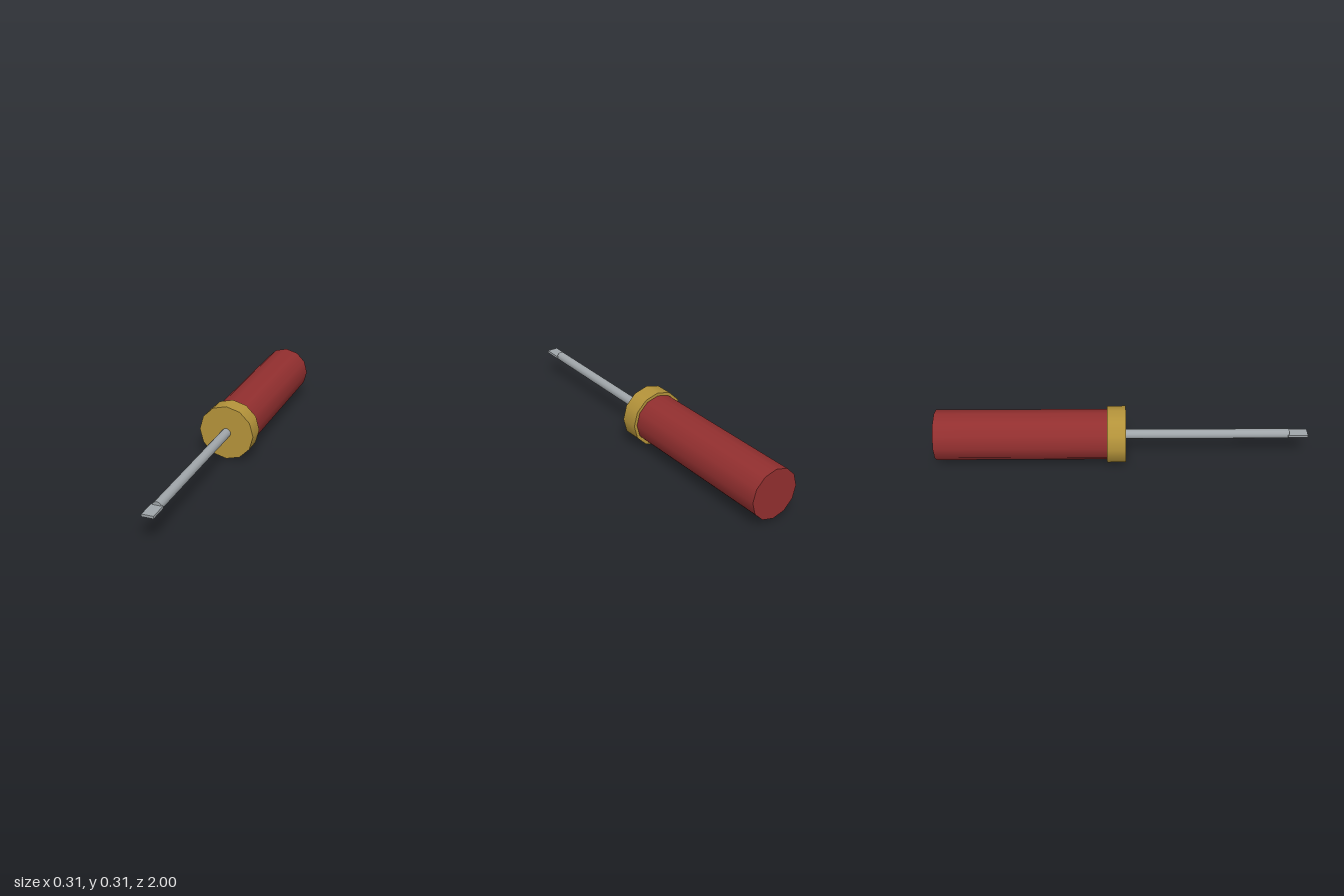
import * as THREE from 'three';

const AXIS_Y = 0.153;

export function createModel() {
  const root = new THREE.Group();
  root.name = 'screwdriver';

  const material = (name, color) => {
    const m = new THREE.MeshStandardMaterial({ color });
    m.name = name;
    return m;
  };
  const red = material('handle red', 0x922f2f);
  const brass = material('collar brass', 0xb4933a);
  const steel = material('steel grey', 0xa0a6aa);

  const add = (name, geometry, mat, z) => {
    const mesh = new THREE.Mesh(geometry, mat);
    mesh.name = name;
    mesh.position.set(0, AXIS_Y, z);
    root.add(mesh);
  };
  // Twelve-sided rod along z, with a corner at the top
  const rod = (name, radius, z0, z1, mat) => {
    const geometry = new THREE.CylinderGeometry(radius, radius, z1 - z0, 12);
    geometry.rotateX(Math.PI / 2);
    add(name, geometry, mat, (z0 + z1) / 2);
  };

  rod('handle', 0.136, -1, -0.07, red);
  rod('collar', 0.153, -0.08, 0.02, brass);
  rod('shaft', 0.026, 0.01, 0.9, steel);

  // Flat tip, slightly wider than the shaft
  add('blade', new THREE.BoxGeometry(0.062, 0.014, 0.106), steel, 0.947);

  return root;
}
